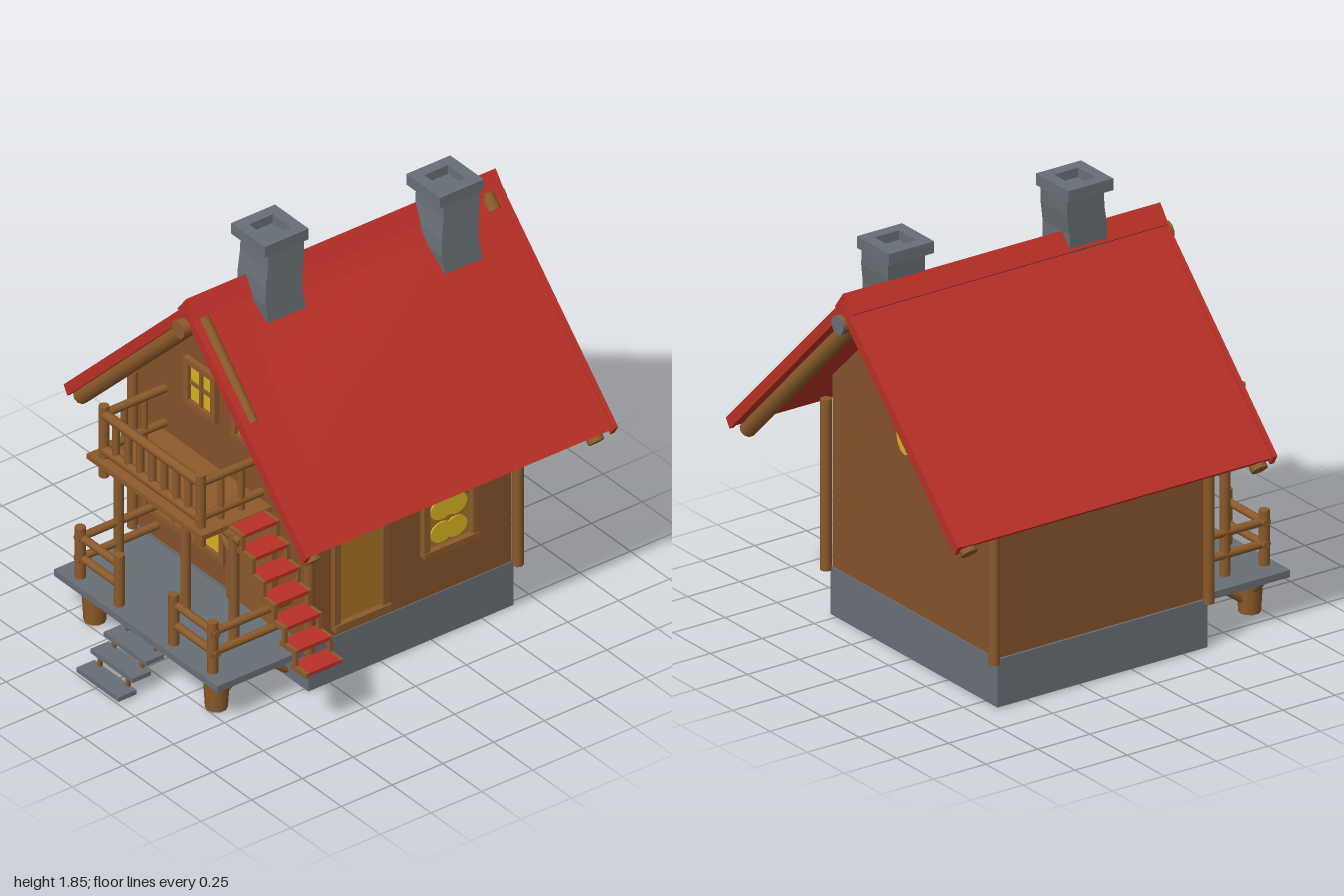
import * as THREE from 'three';

const mat = (name, color) => {
  const m = new THREE.MeshStandardMaterial({ color });
  m.name = name;
  return m;
};

export function createModel() {
  const house = new THREE.Group();
  house.name = 'cottage';
  const wall = mat('wall brown', 0x85522a), wood = mat('log brown', 0x8b5a2b), red = mat('roof red', 0xb83026);
  const stone = mat('stone grey', 0x686f75), glass = mat('window yellow', 0xd8b322), ochre = mat('door ochre', 0xa87222);

  const group = (name) => {
    const g = new THREE.Group();
    g.name = name;
    house.add(g);
    return g;
  };
  const add = (parent, name, geo, m) => {
    const mesh = new THREE.Mesh(geo, m);
    mesh.name = name;
    parent.add(mesh);
    return mesh;
  };
  // box given by its limits on each axis
  const box = (parent, name, m, x0, x1, y0, y1, z0, z1) => {
    const b = add(parent, name, new THREE.BoxGeometry(x1 - x0, y1 - y0, z1 - z0), m);
    b.position.set((x0 + x1) / 2, (y0 + y1) / 2, (z0 + z1) / 2);
    return b;
  };
  // round log between two points
  const log = (parent, name, a, b, r = 0.018, m = wood, r2 = r) => {
    const p = new THREE.Vector3(...a), q = new THREE.Vector3(...b), d = q.clone().sub(p);
    const l = add(parent, name, new THREE.CylinderGeometry(r2, r, d.length(), 10), m);
    l.position.copy(p).add(q).multiplyScalar(0.5);
    l.quaternion.setFromUnitVectors(new THREE.Vector3(0, 1, 0), d.normalize());
    return l;
  };
  // outline in xy, extruded from z0 to z1
  const prism = (parent, name, m, pts, z0, z1) => {
    const shape = new THREE.Shape(pts.map((p) => new THREE.Vector2(...p)));
    const e = add(parent, name, new THREE.ExtrudeGeometry(shape, { depth: z1 - z0, bevelEnabled: false }), m);
    e.position.z = z0;
    return e;
  };

  // body
  box(house, 'stoneBase', stone, -0.59, 0.53, 0.01, 0.215, -0.65, 0.36);
  prism(house, 'walls', wall, [[-0.58, 0.2], [0.525, 0.2], [0.525, 1.03], [0, 1.55], [-0.58, 0.975]], -0.645, 0.355);
  const posts = group('cornerPosts');
  for (const z of [0.365, -0.665]) {
    log(posts, 'cornerPost', [-0.59, 0.2, z], [-0.59, 0.93, z], 0.023);
    log(posts, 'cornerPost', [0.54, 0.2, z], [0.54, 0.93, z], 0.023);
  }

  // roof
  const roof = group('roof');
  const chevron = (d, w, t) => [[-w, 0.835 + d], [0, 1.61 + d], [w, 0.835 + d], [w - 0.025, 0.835 + d - t], [0, 1.61 + d - t * 1.5], [0.025 - w, 0.835 + d - t]];
  prism(roof, 'roofSlab', red, chevron(0, 0.77, 0.02), -0.965, 0.55);
  for (const z of [-0.975, 0.54]) prism(roof, 'roofEdgeTrim', red, chevron(0.008, 0.78, 0.04), z, z + 0.02);
  prism(roof, 'ridgeCap', red, [[-0.055, 1.575], [0, 1.648], [0.055, 1.575], [0.03, 1.555], [-0.03, 1.555]], -0.97, 0.555);
  // gentle swelling on one slope
  const swell = new THREE.PlaneGeometry(1, 1, 14, 10), sp = swell.attributes.position;
  for (let i = 0; i < sp.count; i++) {
    const u = sp.getX(i) + 0.5, v = sp.getY(i) + 0.5;
    const x = 0.54 - 0.46 * v;
    const lift = 0.022 * Math.sin(Math.PI * u) * Math.sin(Math.PI * v) - 0.003;
    sp.setXYZ(i, x + lift * 0.7, 1.61 - 0.993 * x + lift * 0.7, 0.35 - 0.99 * u);
  }
  swell.computeVertexNormals();
  add(roof, 'roofSwelling', swell, red);
  // rafters and ridge beam
  log(roof, 'ridgeBeam', [0, 1.52, -0.99], [0, 1.52, 0.595], 0.04);
  log(roof, 'ridgeBeamEnd', [0, 1.52, -0.997], [0, 1.52, -0.99], 0.04, stone);
  for (const s of [-1, 1]) for (const z of [-0.895, 0.5]) {
    log(roof, 'gableRafter', [0, 1.52, z], [s * 0.745, 0.785, z], 0.035);
  }
  log(roof, 'exposedRafter', [0.02, 1.575, 0.5], [0.36, 1.235, 0.5], 0.026, wood, 0.022);
  log(roof, 'exposedRafter', [0.03, 1.575, -0.9], [0.08, 1.52, -0.9], 0.03);

  // chimneys: crooked square shafts with a hollow cap
  const chimney = (x, z, y0, top, lean) => {
    const g = group('chimney'), h = top - 0.04 - y0;
    const geo = new THREE.CylinderGeometry(0.125, 0.13, h, 4, 4).rotateY(Math.PI / 4);
    const p = geo.attributes.position;
    for (let i = 0; i < p.count; i++) {
      const t = p.getY(i) / h + 0.5;
      p.setX(i, p.getX(i) + lean * (1 - t));
      p.setZ(i, p.getZ(i) + 0.012 * Math.sin(t * 5));
    }
    const flat = geo.toNonIndexed();
    flat.computeVertexNormals();
    add(g, 'chimneyShaft', flat, stone).position.set(x, y0 + h / 2, z);
    const s = new THREE.Shape([[-1, -1], [1, -1], [1, 1], [-1, 1]].map(([a, b]) => new THREE.Vector2(a * 0.108, b * 0.108)));
    s.holes.push(new THREE.Path([[-1, -1], [-1, 1], [1, 1], [1, -1]].map(([a, b]) => new THREE.Vector2(a * 0.058, b * 0.058))));
    const cap = add(g, 'chimneyCap', new THREE.ExtrudeGeometry(s, { depth: 0.05, bevelEnabled: false }).rotateX(-Math.PI / 2), stone);
    cap.position.set(x, top - 0.05, z);
  };
  chimney(0.03, 0.165, 1.49, 1.85, 0.02);
  chimney(0.08, -0.66, 1.42, 1.775, 0.03);

  // front windows
  const pane = (name, x0, x1, y0, y1, cols, rows) => {
    const g = group(name);
    box(g, 'glass', glass, x0, x1, y0, y1, 0.354, 0.362);
    for (const [a, b] of [[x0 - 0.03, x0], [x1, x1 + 0.03]]) box(g, 'frameSide', wood, a, b, y0 - 0.025, y1 + 0.025, 0.35, 0.38);
    for (const [a, b] of [[y0 - 0.025, y0], [y1, y1 + 0.025]]) box(g, 'frameRail', wood, x0, x1, a, b, 0.35, 0.378);
    for (let i = 1; i < cols; i++) {
      const x = x0 + (x1 - x0) * i / cols;
      box(g, 'mullion', wood, x - 0.009, x + 0.009, y0, y1, 0.35, 0.372);
    }
    for (let i = 1; i < rows; i++) {
      const y = y0 + (y1 - y0) * i / rows;
      box(g, 'mullion', wood, x0, x1, y - 0.008, y + 0.008, 0.35, 0.37);
    }
  };
  pane('upperWindow', -0.22, -0.075, 0.99, 1.155, 2, 2);
  pane('upperWindow', 0.085, 0.245, 0.99, 1.155, 2, 2);
  pane('largeWindow', -0.485, -0.02, 0.36, 0.7, 3, 3);

  // front door
  const door = group('frontDoor');
  box(door, 'doorPanel', wood, 0.065, 0.3, 0.2, 0.67, 0.35, 0.368);
  for (const x of [0.035, 0.3]) box(door, 'doorFrame', wood, x, x + 0.03, 0.2, 0.7, 0.35, 0.385);
  box(door, 'doorLintel', wood, 0.02, 0.345, 0.67, 0.7, 0.35, 0.39);
  add(door, 'doorKnob', new THREE.SphereGeometry(0.018, 12, 8), wood).position.set(0.09, 0.445, 0.385);

  // side door
  const side = group('sideDoor');
  box(side, 'doorPanel', ochre, 0.52, 0.532, 0.27, 0.68, -0.01, 0.22);
  for (const z of [-0.025, 0.215]) box(side, 'doorFrame', wood, 0.52, 0.55, 0.26, 0.69, z, z + 0.03);
  box(side, 'doorLintel', wood, 0.52, 0.56, 0.675, 0.705, -0.03, 0.27);
  box(side, 'doorSill', wood, 0.52, 0.56, 0.25, 0.28, -0.03, 0.245);

  // windows with rounded panes
  const lobed = (name, cx, cy, ry) => {
    const g = group(name);
    for (const [a, b] of [[-1, -1], [1, -1], [-1, 1], [1, 1]]) {
      const d = add(g, 'roundPane', new THREE.CylinderGeometry(0.055, 0.055, 0.006, 20).rotateX(Math.PI / 2), glass);
      d.position.set(a * cx, b * cy, 0.005);
      d.scale.y = ry;
    }
    return g;
  };
  const sideWin = lobed('sideWindow', 0.035, 0.053, 0.85);
  const arch = [[-0.11, -0.11], [0.11, -0.11], [0.11, 0.06], [0.07, 0.1], [0, 0.115], [-0.07, 0.1], [-0.11, 0.06]];
  sideWin.add(prism(sideWin, 'backing', ochre, arch, -0.004, 0.002));
  for (const s of [-1, 1]) box(sideWin, 'frameSide', wood, s * 0.12 - 0.014, s * 0.12 + 0.014, -0.13, 0.12, -0.005, 0.025);
  box(sideWin, 'frameTop', wood, -0.14, 0.14, 0.115, 0.14, -0.005, 0.03);
  box(sideWin, 'frameSill', wood, -0.135, 0.135, -0.135, -0.11, -0.005, 0.03);
  sideWin.position.set(0.527, 0.55, -0.33);
  sideWin.rotation.y = Math.PI / 2;
  const backWin = lobed('backWindow', 0.03, 0.07, 1.3);
  backWin.position.set(0, 1.01, -0.644);
  backWin.rotation.y = Math.PI;

  // porch
  const porch = group('porch');
  box(porch, 'porchDeck', stone, -0.53, 0.52, 0.175, 0.205, 0.35, 0.8);
  for (const s of [-1, 1]) {
    const x = s * 0.39;
    log(porch, 'porchFoot', [x, 0.005, 0.705], [x, 0.175, 0.705], 0.045, wood, 0.055);
    log(porch, 'footBrace', [x, 0.05, 0.69], [x, 0.17, 0.52], 0.016);
    log(porch, 'wallBrace', [x, 0.04, 0.36], [x, 0.17, 0.53], 0.014);
    for (const k of [-1, 1]) log(porch, 'footBrace', [x, 0.08, 0.7], [x + k * 0.1, 0.172, 0.7], 0.016);
    // porch railings
    const xo = s * 0.425, xi = s * 0.175;
    for (const [px, pz] of [[xo, 0.75], [xi, 0.75]]) log(porch, 'railPost', [px, 0.2, pz], [px, 0.44, pz], 0.022);
    for (const y of [0.295, 0.39]) {
      log(porch, 'frontRail', [s * 0.45, y, 0.745], [s * 0.165, y, 0.745], 0.017);
      log(porch, 'sideRail', [xo, y, 0.37], [xo, y, 0.77], 0.017);
    }
  }

  // front steps
  const steps = group('frontSteps');
  [[0.14, 0.82], [0.087, 0.885], [0.027, 0.955]].forEach(([y, z]) => {
    box(steps, 'tread', stone, -0.125, 0.145, y - 0.01, y + 0.01, z - 0.045, z + 0.045);
    for (const x of [-0.08, 0.1]) box(steps, 'riser', wood, x - 0.008, x + 0.008, y, y + 0.055, z - 0.045, z - 0.03);
  });

  // balcony
  const balcony = group('balcony');
  box(balcony, 'balconyFloor', wood, -0.45, 0.29, 0.725, 0.748, 0.35, 0.7);
  log(balcony, 'floorBeam', [-0.45, 0.71, 0.565], [0.37, 0.71, 0.565], 0.02);
  for (const x of [-0.42, 0.01, 0.32]) log(balcony, 'tallPost', [x, 0.2, 0.565], [x, 0.73, 0.565], 0.021);
  for (const [x, k] of [[-0.42, 1], [0.01, -1], [0.01, 1], [0.32, -1]]) {
    log(balcony, 'postBrace', [x, 0.61, 0.565], [x + k * 0.11, 0.715, 0.565], 0.015);
  }
  for (const x of [-0.39, 0.23]) {
    log(balcony, 'railPost', [x, 0.66, 0.66], [x, 0.99, 0.66], 0.021);
    for (const y of [0.79, 0.95]) log(balcony, 'sideRail', [x, y, 0.36], [x, y, 0.66], 0.018);
    for (const z of [0.46, 0.56]) log(balcony, 'sideBaluster', [x, 0.74, z], [x, 0.95, z], 0.014);
  }
  for (const y of [0.785, 0.95]) log(balcony, 'frontRail', [-0.4, y, 0.66], [0.24, y, 0.66], 0.021);
  for (let i = 1; i < 8; i++) {
    const x = -0.39 + i * 0.0775;
    log(balcony, 'baluster', [x, 0.78, 0.66], [x, 0.95, 0.66], 0.016);
  }

  // side stairs: red treads on stepped wooden stringers
  const stairs = group('sideStairs');
  const n = 7;
  for (let i = 0; i < n; i++) {
    const x = 0.28 + i * 0.0683, y = 0.735 - i * 0.0725, w = 0.1;
    box(stairs, 'tread', red, x, x + w, y - 0.006, y + 0.01, 0.4, 0.555);
    for (const z of [0.385, 0.555]) {
      box(stairs, 'stringerTread', wood, x, x + w, y - 0.012, y + 0.009, z, z + 0.016);
      if (i < n - 1) box(stairs, 'stringerRiser', wood, x + w - 0.02, x + w, y - 0.075, y, z, z + 0.016);
    }
  }
  return house;
}
